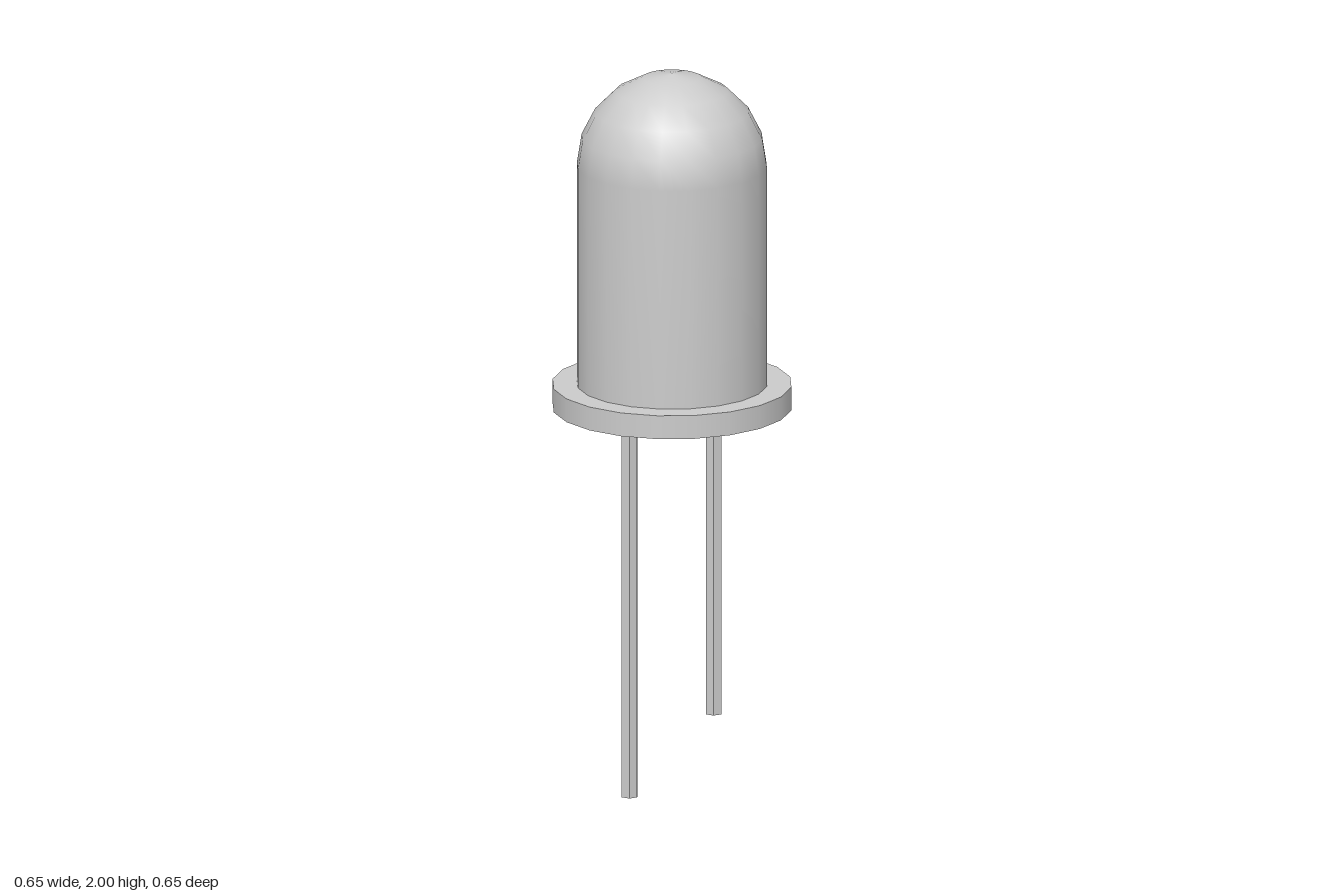
import * as THREE from 'three';

export function createModel() {
  const model = new THREE.Group();
  const grey = new THREE.MeshStandardMaterial({ color: 0xcccccc });
  grey.name = 'light grey';

  const add = (name, geometry, x = 0, y = 0) => {
    const mesh = new THREE.Mesh(geometry, grey);
    mesh.name = name;
    mesh.position.set(x, y, 0);
    model.add(mesh);
  };

  const sides = 20, radius = 0.257, flangeTop = 1.135, flangeBottom = 1.07;
  const domeBase = 2 - radius;

  // Bulb: straight wall running smoothly into a half-sphere dome
  const profile = [new THREE.Vector2(radius, flangeTop)];
  for (let i = 0; i <= 5; i++) {
    const a = (i / 5) * Math.PI / 2;
    profile.push(new THREE.Vector2(i === 5 ? 0 : radius * Math.cos(a), domeBase + radius * Math.sin(a)));
  }
  add('bulb', new THREE.LatheGeometry(profile, sides));

  // Flange disc under the bulb
  const thickness = flangeTop - flangeBottom;
  add('flange', new THREE.CylinderGeometry(0.323, 0.323, thickness, sides), 0, flangeBottom + thickness / 2);

  // Two hexagonal leads of different length, corners towards the sides
  const addLead = (name, x, bottom) => {
    const length = flangeBottom - bottom;
    const lead = new THREE.CylinderGeometry(0.024, 0.024, length, 6).rotateY(Math.PI / 6).toNonIndexed();
    lead.computeVertexNormals();
    add(name, lead, x, bottom + length / 2);
  };
  addLead('longLead', -0.13, 0);
  addLead('shortLead', 0.128, 0.196);

  return model;
}
